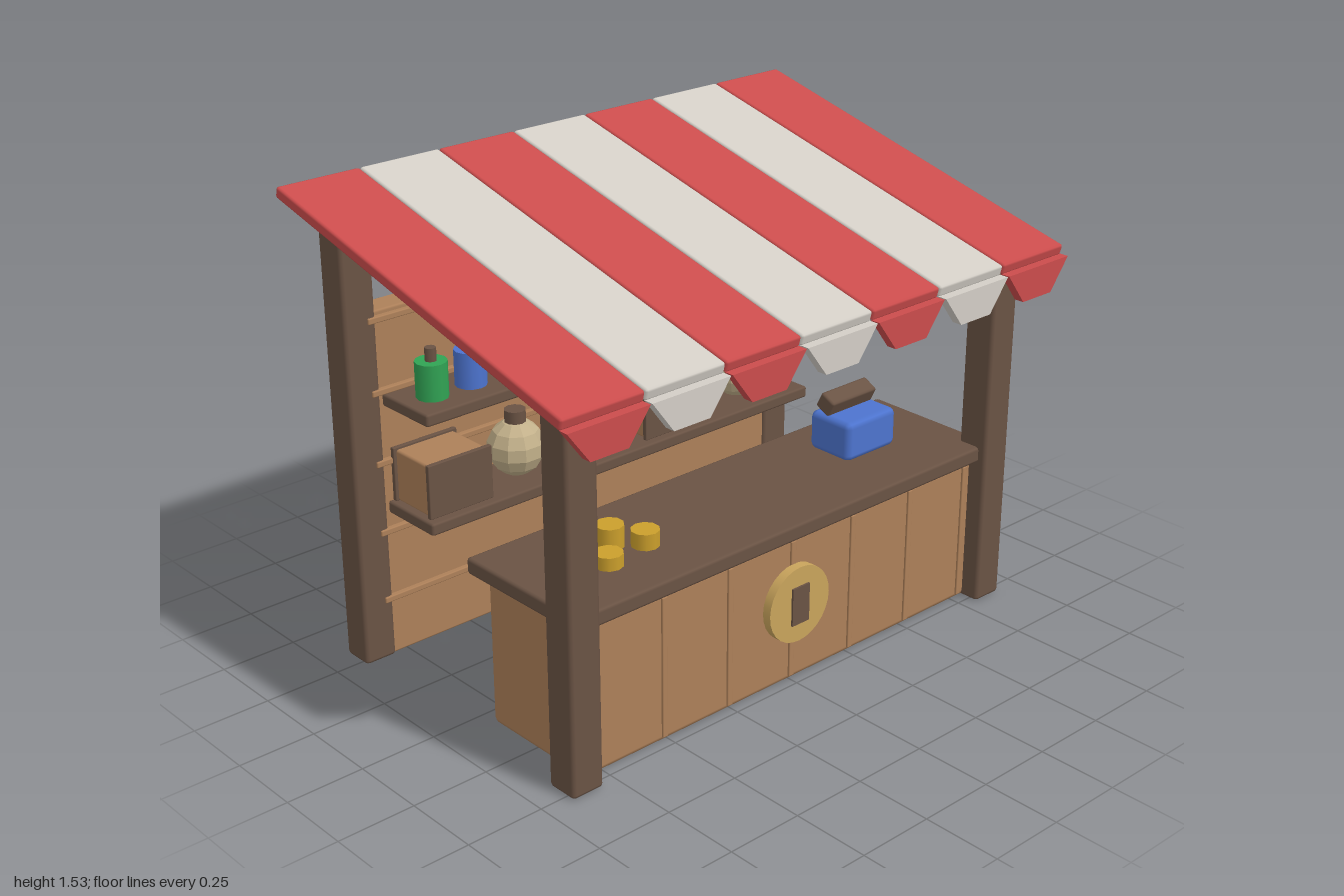
import * as THREE from 'three';
import { RoundedBoxGeometry } from 'three/addons/geometries/RoundedBoxGeometry.js';

const mat = (name, color, flatShading = false) => {
  const m = new THREE.MeshStandardMaterial({ color, flatShading });
  m.name = name;
  return m;
};

export function createModel() {
  const red = mat('red', 0xcb4c4c);
  const cream = mat('cream', 0xd3cec6);
  const wood = mat('wood', 0xad8059);
  const dark = mat('dark wood', 0x6a5344);
  const gold = mat('gold', 0xcb9f2c);
  const brass = mat('sign tan', 0xc9a45c);
  const clay = mat('clay', 0xc2b08a, true);
  const blue = mat('blue', 0x4d74cf);
  const green = mat('green', 0x31a354);

  const model = new THREE.Group();
  model.name = 'marketStall';

  const add = (name, geo, material, x, y, z, parent = model) => {
    const mesh = new THREE.Mesh(geo, material);
    mesh.name = name;
    mesh.position.set(x, y, z);
    parent.add(mesh);
    return mesh;
  };
  // Bevelled box given by its limits on each axis
  const block = (name, material, [x0, x1], [y0, y1], [z0, z1], bevel = 0.008) =>
    add(name, new RoundedBoxGeometry(x1 - x0, y1 - y0, z1 - z0, 1, bevel), material,
      (x0 + x1) / 2, (y0 + y1) / 2, (z0 + z1) / 2);
  // Upright cylinder standing on y0
  const can = (name, material, r, y0, y1, x, z, sides = 10, rTop = r) =>
    add(name, new THREE.CylinderGeometry(rTop, r, y1 - y0, sides), material, x, (y0 + y1) / 2, z);

  // Corner posts
  for (const s of [-1, 1]) {
    const xs = [s * 0.855 - 0.055, s * 0.855 + 0.055];
    block('frontPost', dark, xs, [0, 1.22], [0.425, 0.533], 0.012);
    block('backPost', dark, xs, [0, 1.47], [-0.577, -0.469], 0.012);
  }

  // Back wall with horizontal battens
  block('backWall', wood, [-0.82, 0.82], [0, 1.145], [-0.567, -0.479]);
  for (let i = 0; i < 5; i++) {
    const y = 0.2 + i * 0.23;
    for (const z of [-0.573, -0.473])
      block('wallBatten', wood, [-0.83, 0.83], [y - 0.01, y + 0.01], [z - 0.01, z + 0.01], 0.004);
  }

  // Counter with vertical battens
  block('counterBody', wood, [-0.82, 0.82], [0, 0.487], [0.05, 0.47], 0.018);
  block('counterTop', dark, [-0.862, 0.862], [0.493, 0.545], [0.01, 0.505], 0.01);
  for (let i = -3; i <= 3; i++) {
    const x = i * 0.258;
    for (const z of [0.052, 0.469])
      block('counterBatten', wood, [x - 0.01, x + 0.01], [0.015, 0.475], [z - 0.008, z + 0.008], 0.003);
  }

  // Round sign on the counter front
  const disc = add('signDisc', new THREE.CylinderGeometry(0.125, 0.125, 0.03, 28), brass, 0, 0.275, 0.49);
  disc.rotation.x = Math.PI / 2;
  add('signMark', new THREE.BoxGeometry(0.07, 0.125, 0.009), dark, 0, 0.275, 0.507);

  // Striped sloping awning with hanging flaps
  const stripe = 2 / 7;
  const flap = new THREE.Shape([
    new THREE.Vector2(-0.14, 0), new THREE.Vector2(-0.065, -0.1),
    new THREE.Vector2(0.065, -0.1), new THREE.Vector2(0.14, 0),
  ]);
  const flapGeo = new THREE.ExtrudeGeometry(flap, { depth: 0.033, bevelEnabled: false });
  const slatGeo = new RoundedBoxGeometry(stripe - 0.003, 0.036, 1.305, 1, 0.008);
  for (let i = 0; i < 7; i++) {
    const x = (i - 3) * stripe;
    const colour = i % 2 ? cream : red;
    add('awningStripe', slatGeo, colour, x, 1.354, -0.008).rotation.x = Math.atan(0.25);
    add('awningFlap', flapGeo, colour, x, 1.182, 0.617);
  }

  // Shelves
  block('upperShelf', dark, [-0.79, 0.79], [0.84, 0.88], [-0.48, -0.252]);
  block('lowerShelf', dark, [-0.79, 0.79], [0.486, 0.526], [-0.48, -0.252]);

  // Bottles
  [green, blue, red, green].forEach((colour, i) => {
    const x = -0.69 + i * 0.143;
    can('bottle', colour, 0.05, 0.88, 0.995, x, -0.36, 12);
    can('bottleStopper', dark, 0.018, 0.995, 1.037, x, -0.36, 8);
  });

  // Coin stacks: x, z, base, top
  for (const [x, z, y0, y1] of [
    [0.025, -0.36, 0.88, 0.968], [0.125, -0.34, 0.88, 0.935],
    [-0.59, 0.32, 0.545, 0.586], [-0.51, 0.23, 0.545, 0.615], [-0.43, 0.295, 0.545, 0.596],
  ]) can('coinStack', gold, 0.044, y0, y1, x, z, 10);

  // Chest
  block('chestBase', dark, [0.3, 0.61], [0.88, 1.015], [-0.468, -0.29], 0.015);
  block('chestLid', wood, [0.297, 0.613], [1.02, 1.09], [-0.468, -0.28], 0.02);
  block('chestBand', gold, [0.29, 0.62], [1.005, 1.024], [-0.47, -0.273], 0.004);
  block('chestLatch', gold, [0.437, 0.474], [0.965, 1.02], [-0.292, -0.268], 0.004);

  // Crates with dark front and back boards
  for (const x of [-0.657, 0.198]) {
    block('crateBody', wood, [x - 0.108, x + 0.108], [0.526, 0.695], [-0.463, -0.295]);
    for (const z of [-0.288, -0.465])
      block('crateBoard', dark, [x - 0.118, x + 0.118], [0.526, 0.702], [z - 0.008, z + 0.008], 0.003);
  }

  // Faceted jugs
  for (const x of [-0.375, 0.57]) {
    add('jug', new THREE.SphereGeometry(0.093, 10, 7), clay, x, 0.617, -0.375);
    can('jugCap', dark, 0.035, 0.703, 0.743, x, -0.375, 10);
  }

  // Blue box with a tilted bar on top
  block('blueBox', blue, [0.403, 0.623], [0.545, 0.675], [0.138, 0.308], 0.02);
  const bar = block('blueBoxBar', dark, [0.413, 0.612], [0.677, 0.735], [0.162, 0.222], 0.008);
  bar.rotation.x = 0.45;

  return model;
}
